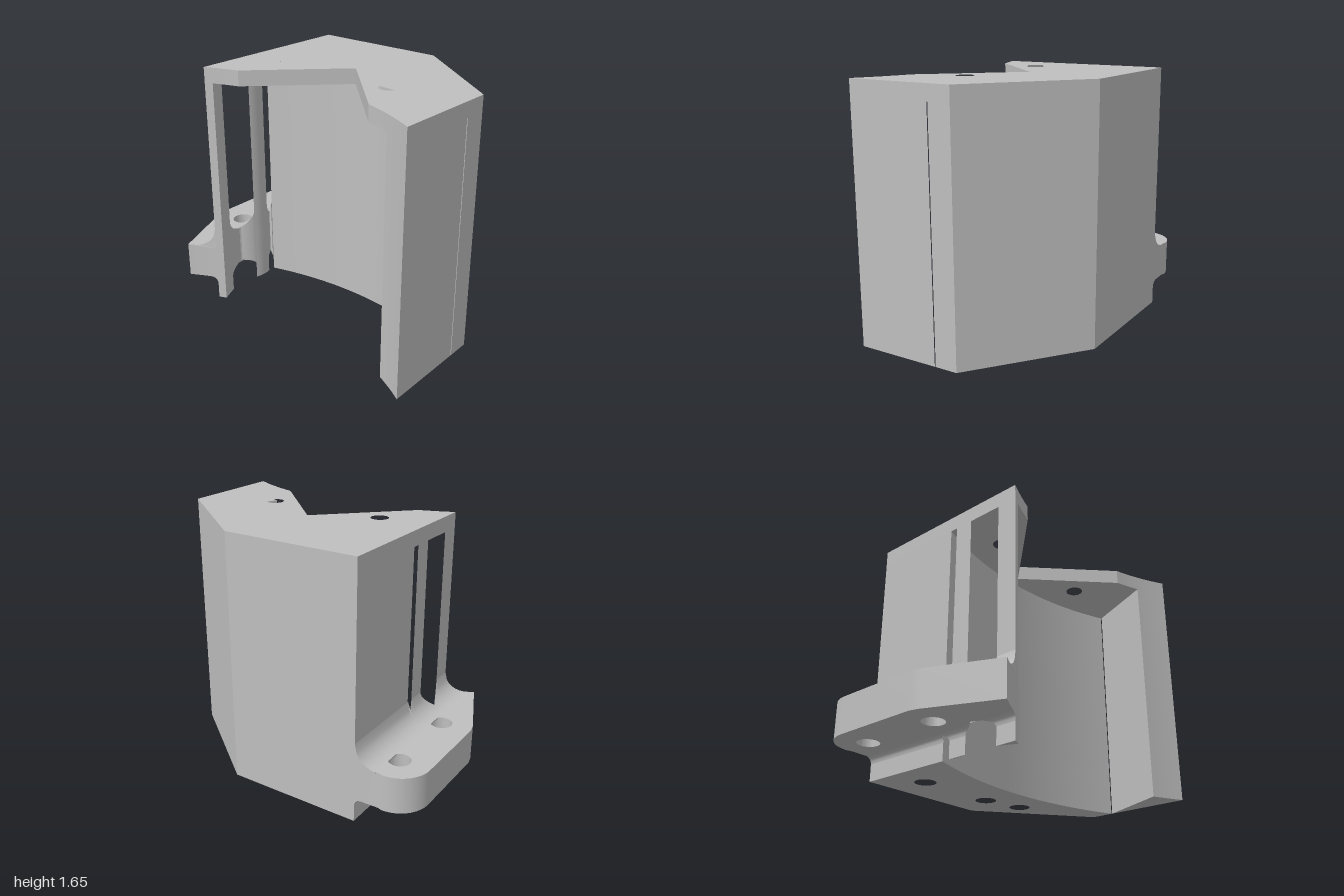
import * as THREE from 'three';
import { toCreasedNormals } from 'three/addons/utils/BufferGeometryUtils.js';

const WALL = -0.61, AXIS = 0.12, ARC_Z = 2.14;
const BOSS = [-0.8, 0.105], CORNER = [-0.8, -0.44], R = 0.2;

// z of the two concentric arcs: front edge and back of the cavity
const arcZ = (r) => (x) => ARC_Z - Math.sqrt(r * r - (x - AXIS) ** 2);
const frontZ = arcZ(1.765), cavityZ = arcZ(2.268);

// points along an arc function from x0 to x1
function along(fn, x0, x1, n) {
  return Array.from({ length: n + 1 }, (_, i) => {
    const x = x0 + ((x1 - x0) * i) / n;
    return [x, fn(x)];
  });
}

// inner edge of the flange: wall line, notched by the cavity but keeping the round boss
function innerX(z) {
  if (z < 0) return WALL;
  const cavity = -0.56 - ((0.512 - z) * 0.2) / 0.462;
  const d = R * R - (z - BOSS[1]) ** 2;
  const boss = d > 0 ? BOSS[0] + Math.sqrt(d) : -9;
  return Math.min(WALL, Math.max(cavity, boss));
}

// plan outline in x, z raised from y0 to y1; holes are [x, z, radius]
function raise(points, y0, y1, holes = []) {
  const shape = new THREE.Shape(points.map(([x, z]) => new THREE.Vector2(x, -z)));
  for (const [x, z, r] of holes) {
    const path = new THREE.Path();
    path.absarc(x, -z, r, 0, Math.PI * 2, true);
    shape.holes.push(path);
  }
  const geo = new THREE.ExtrudeGeometry(shape, { depth: y1 - y0, bevelEnabled: false, curveSegments: 32 });
  geo.rotateX(-Math.PI / 2).translate(0, y0, 0);
  return toCreasedNormals(geo, 0.4);
}

// concave fillet between flange and wall, lofted along z; sign +1 above, -1 below
function fillet(r, y, sign, stations) {
  const n = 12, x0 = WALL - r;
  const rings = stations.map((z, k) => {
    const xr = Math.max(x0, innerX(z));
    const ring = [[xr, y - sign * 0.01]];
    for (let i = 0; i <= n; i++) {
      const x = xr + ((x0 - xr) * i) / n;
      ring.push([x, y + sign * (r - Math.sqrt(Math.max(0, r * r - (x - x0) ** 2)))]);
    }
    ring.push([x0, y - sign * 0.01]);
    const last = k === stations.length - 1;
    return ring.map(([x, h]) => [x, h, last ? frontZ(x) : z]);
  });
  const pos = [];
  const tri = (a, b, c) => pos.push(...a, ...(sign > 0 ? b : c), ...(sign > 0 ? c : b));
  const m = rings[0].length;
  for (let k = 0; k < rings.length - 1; k++) {
    for (let i = 0; i < m; i++) {
      const j = (i + 1) % m;
      tri(rings[k][i], rings[k][j], rings[k + 1][j]);
      tri(rings[k][i], rings[k + 1][j], rings[k + 1][i]);
    }
  }
  const first = rings[0], end = rings[rings.length - 1];
  for (let i = 1; i < m - 1; i++) {
    tri(first[0], first[i + 1], first[i]);
    tri(end[0], end[i], end[i + 1]);
  }
  const geo = new THREE.BufferGeometry();
  geo.setAttribute('position', new THREE.Float32BufferAttribute(pos, 3));
  return toCreasedNormals(geo, 0.4);
}

export function createModel() {
  const model = new THREE.Group();
  const grey = new THREE.MeshStandardMaterial({ color: 0xbfbfbf });
  grey.name = 'light grey';
  const add = (name, geo) => {
    const mesh = new THREE.Mesh(geo, grey);
    mesh.name = name;
    model.add(mesh);
  };
  const H = 1.55, TOP = 1.65;

  // top plate with V notch and two screw holes
  add('topPlate', raise([
    [WALL, -0.635], [0.3, -0.635], [1, -0.1],
    ...along(frontZ, 1, 0.63, 8), [AXIS, -0.06], ...along(frontZ, -0.39, WALL, 6),
  ], H, TOP, [[-0.285, 0.14, 0.057], [0.525, 0.14, 0.057]]));

  // thick back wall, concave inside, with blind holes from below
  const back = [[WALL, -0.635], [0.3, -0.635], [1, -0.1], ...along(cavityZ, 1, WALL, 32)];
  const blind = [[0.45, -0.33, 0.068], [0.17, -0.385, 0.068], [-0.38, -0.385, 0.068]];
  add('backWallBase', raise(back, 0, 0.3, blind));
  add('backWall', raise(back, 0.3, H));

  // side walls beside the cavity; a hairline slit stays open at the left
  add('leftWall', raise([[1, 0.056], ...along(frontZ, 1, 0.8, 6)], 0, H));
  add('rightFrontPost', raise([[WALL, 0.397], [-0.56, frontZ(-0.56)], [WALL, frontZ(WALL)]], 0, H));

  // sliver of the round boss that stands inside the wall line
  const half = Math.acos((WALL - BOSS[0]) / R);
  const sliver = Array.from({ length: 9 }, (_, i) => {
    const a = half * (i / 4 - 1);
    return [BOSS[0] + R * Math.cos(a), BOSS[1] + R * Math.sin(a)];
  });
  add('bossPost', raise(sliver, 0, H));

  // side flange with rounded corner, two bolt holes and cavity notch
  const stations = [-0.635, -0.001];
  for (let i = 0; i <= 48; i++) stations.push(0.002 + (i * 0.5) / 48);
  const corner = Array.from({ length: 17 }, (_, i) => {
    const a = (Math.PI / 2) * (i / 16);
    return [CORNER[0] - R * Math.sin(a), CORNER[1] - R * Math.cos(a)];
  });
  const plan = [
    [-0.77, -0.632], ...corner, [-1, 0.12], [-0.985, 0.18],
    ...along(frontZ, -0.79, WALL, 8),
    ...[...stations].reverse().map((z) => [innerX(z), z]),
  ];
  add('flange', raise(plan, 0.155, 0.39, [[...CORNER, 0.07], [...BOSS, 0.07]]));
  const ends = [...stations, 0.53];
  add('upperFillet', fillet(0.14, 0.39, 1, ends));
  add('lowerFillet', fillet(0.045, 0.155, -1, ends));

  return model;
}
